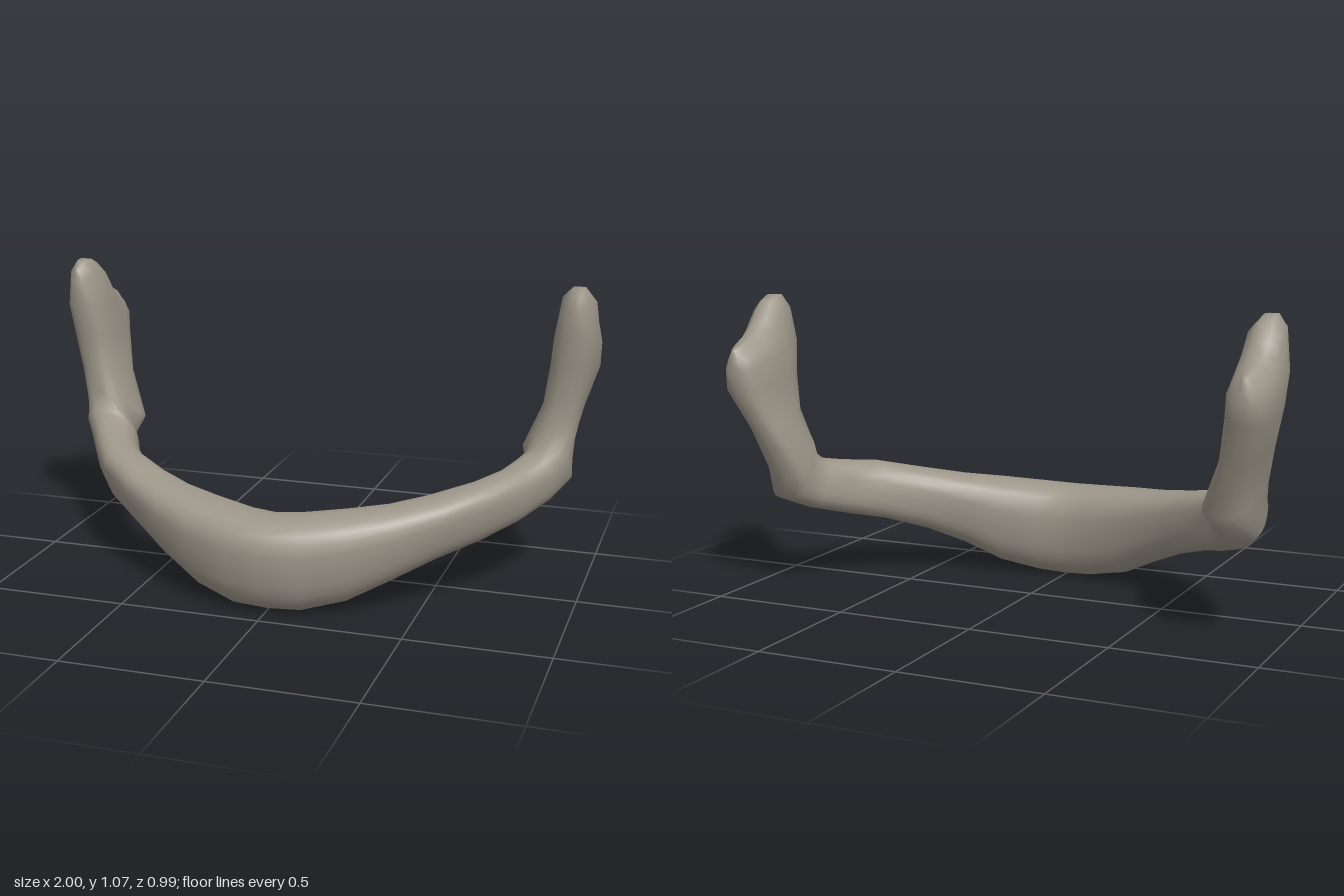
import * as THREE from 'three';

const SEG = 24; // points around each cross-section

// Stations from the chin to the raised end: T = top/front edge, B = bottom/back edge,
// n = outward direction in plan (x, z), w = half thickness,
// taper = how much narrower the lower edge is, power = squareness (1 is an ellipse)
const stations = [
  { T: [0, 0.335, 0.372], B: [0, 0, 0.352], n: [0, 1], w: 0.132, taper: 0.14 },
  { T: [0.105, 0.34, 0.358], B: [0.11, 0.005, 0.347], n: [0.18, 0.98], w: 0.13, taper: 0.14 },
  { T: [0.255, 0.353, 0.31], B: [0.255, 0.038, 0.302], n: [0.26, 0.97], w: 0.12, taper: 0.2 },
  { T: [0.395, 0.367, 0.25], B: [0.39, 0.105, 0.248], n: [0.4, 0.91], w: 0.102, taper: 0.22 },
  { T: [0.53, 0.392, 0.178], B: [0.515, 0.165, 0.162], n: [0.58, 0.81], w: 0.09, taper: 0.2 },
  { T: [0.67, 0.426, 0.078], B: [0.645, 0.213, 0.058], n: [0.7, 0.71], w: 0.081, taper: 0.1 },
  { T: [0.75, 0.443, -0.038], B: [0.735, 0.247, -0.068], n: [0.87, 0.48], w: 0.08 },
  { T: [0.8, 0.463, -0.135], B: [0.81, 0.288, -0.2], n: [0.9, 0.38], w: 0.087 },
  { T: [0.84, 0.495, -0.15], B: [0.855, 0.335, -0.3], n: [0.97, 0.2], w: 0.087 },
  { T: [0.88, 0.56, -0.165], B: [0.8, 0.425, -0.355], n: [0.97, -0.22], w: 0.086 },
  { T: [0.895, 0.66, -0.17], B: [0.875, 0.6, -0.41], n: [1, 0], w: 0.073 },
  { T: [0.91, 0.79, -0.157], B: [0.92, 0.745, -0.482], n: [1, 0], w: 0.081 },
  { T: [0.923, 0.91, -0.13], B: [0.92, 0.815, -0.49], n: [1, 0], w: 0.079 },
  { T: [0.93, 0, -0.13], B: [0.922, 0, -0.49], n: [1, 0], w: 0.062, drop: 0.04, power: 0.9 },
  { T: [0.932, 0, -0.132], B: [0.925, 0, -0.488], n: [1, 0], w: 0.024, drop: 0, power: 1 },
];

// Height of the notched upper edge along z
const ridge = [[-0.49, 0.888], [-0.33, 0.953], [-0.27, 1.045], [-0.2, 1.078], [-0.13, 1.03]];
function ridgeHeight(z) {
  for (let i = 1; i < ridge.length; i++) {
    const [z0, y0] = ridge[i - 1], [z1, y1] = ridge[i];
    if (z <= z1) return y0 + (y1 - y0) * Math.max(0, (z - z0) / (z1 - z0));
  }
  return ridge[ridge.length - 1][1];
}

// Rounded-box power curve for the cross-section
const soft = (v, power) => Math.sign(v) * Math.pow(Math.abs(v), power);

function ringPoints({ T, B, n, w, drop, taper = 0, power = 0.78 }, mirror) {
  const points = [];
  for (let k = 0; k < SEG; k++) {
    const a = (k / SEG) * Math.PI * 2;
    const c = soft(Math.cos(a), power);
    const s = soft(Math.sin(a), power) * w * (1 + taper * c);
    const mix = (i) => (T[i] + B[i]) / 2 + ((T[i] - B[i]) / 2) * c;
    const z = mix(2) + n[1] * s;
    const y = drop === undefined ? mix(1) : ridgeHeight(z) - drop;
    points.push(mirror * (mix(0) + n[0] * s), y, z);
  }
  return points;
}

function archGeometry() {
  const rings = [
    ...stations.slice(1).reverse().map((s) => ringPoints(s, -1)),
    ...stations.map((s) => ringPoints(s, 1)),
  ];
  const index = [];
  const last = rings.length - 1;
  for (let i = 0; i < last; i++) {
    for (let k = 0; k < SEG; k++) {
      const a = i * SEG + k, b = i * SEG + ((k + 1) % SEG);
      index.push(a, b, a + SEG, b, b + SEG, a + SEG);
    }
  }
  // Close both raised ends with a strip across the ridge
  const cap = (base, flip) => {
    const tri = (p, q, r) => (flip ? index.push(base + p, base + r, base + q) : index.push(base + p, base + q, base + r));
    for (let k = 0; k < SEG / 2; k++) {
      if (k > 0) tri(k, k + 1, SEG - k);
      if (k < SEG / 2 - 1) tri(k + 1, SEG - k - 1, (SEG - k) % SEG);
    }
  };
  cap(last * SEG, false);
  cap(0, true);

  const geometry = new THREE.BufferGeometry();
  geometry.setAttribute('position', new THREE.Float32BufferAttribute(rings.flat(), 3));
  geometry.setIndex(index);
  geometry.computeVertexNormals();
  return geometry;
}

export function createModel() {
  const model = new THREE.Group();
  model.name = 'lowerJaw';
  const bone = new THREE.MeshStandardMaterial({ color: 0x9e978a });
  bone.name = 'bone';
  const jaw = new THREE.Mesh(archGeometry(), bone);
  jaw.name = 'jawbone';
  model.add(jaw);
  return model;
}
